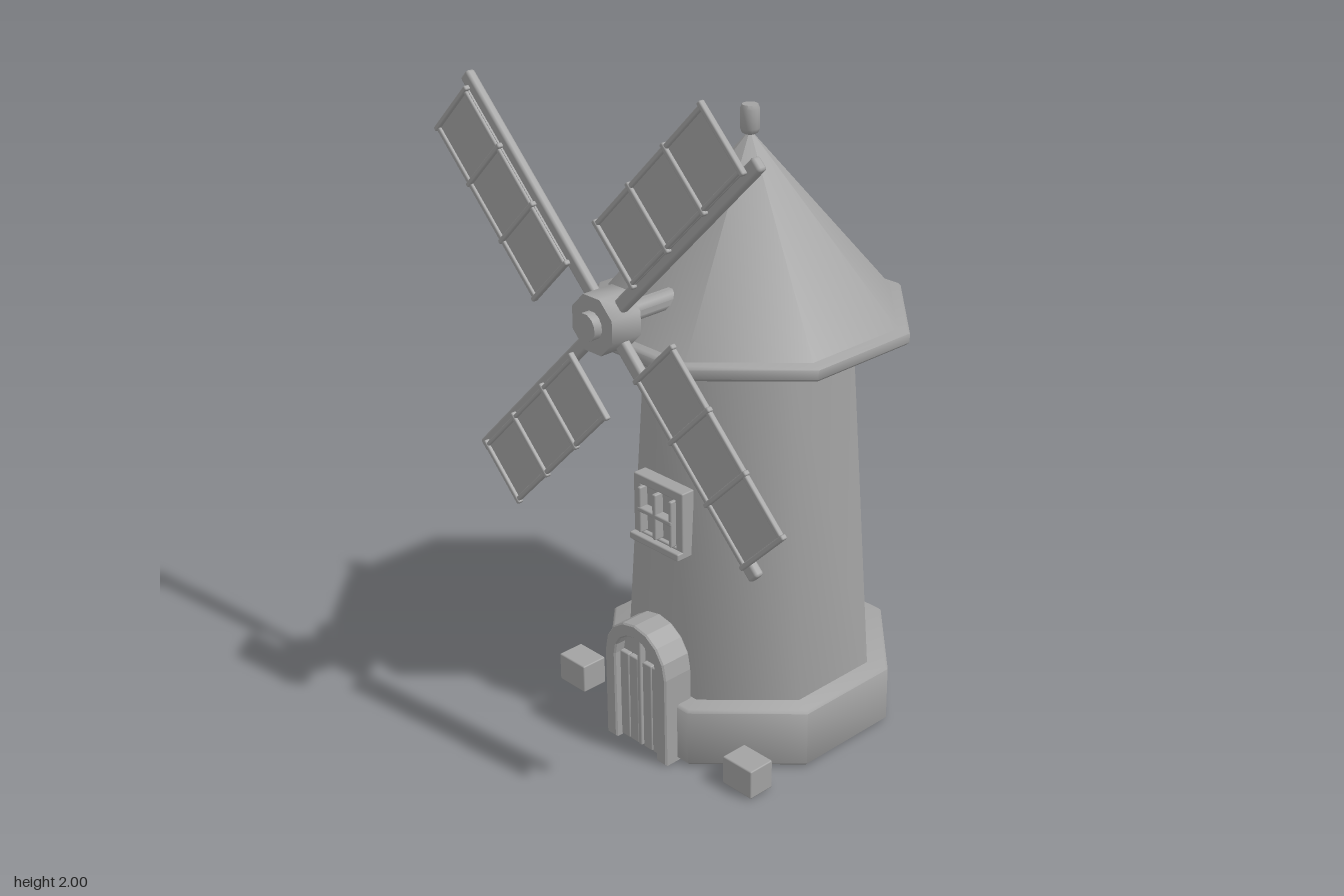
import * as THREE from 'three';
import { toCreasedNormals } from 'three/addons/utils/BufferGeometryUtils.js';
import { RoundedBoxGeometry } from 'three/addons/geometries/RoundedBoxGeometry.js';

const stone = new THREE.MeshStandardMaterial({ color: 0xa2a2a2 });
stone.name = 'plain grey';

function add(parent, name, geometry, x = 0, y = 0, z = 0) {
  const mesh = new THREE.Mesh(geometry, stone);
  mesh.name = name;
  mesh.position.set(x, y, z);
  parent.add(mesh);
  return mesh;
}

const box = (w, h, d, r = 0.004) => new RoundedBoxGeometry(w, h, d, 1, r);

// Eight-sided solid with flats facing the axes; profile is [flat distance, height] going up
function octagon(profile) {
  const points = profile.map(([a, y]) => new THREE.Vector2(a / Math.cos(Math.PI / 8), y));
  return toCreasedNormals(new THREE.LatheGeometry(points, 8, Math.PI / 8), 0.9);
}

// Solid disc with a small bevel on both rims
const slab = (a, y0, y1, b) =>
  octagon([[0, y0], [a - b, y0], [a, y0 + b], [a, y1 - b], [a - b, y1], [0, y1]]);

// Round-topped outline standing on the ground
function archPoints(r, spring) {
  const points = [new THREE.Vector2(-r, 0)];
  for (let i = 0; i <= 8; i++) {
    const t = Math.PI * (1 - i / 8);
    points.push(new THREE.Vector2(r * Math.cos(t), spring + r * Math.sin(t)));
  }
  points.push(new THREE.Vector2(r, 0));
  return points;
}

function makeDoor() {
  const door = new THREE.Group();
  door.name = 'door';
  const outline = new THREE.Shape([...archPoints(0.121, 0.275), ...archPoints(0.088, 0.275).reverse()]);
  add(door, 'doorFrame', new THREE.ExtrudeGeometry(outline, {
    depth: 0.09, bevelThickness: 0.005, bevelSize: 0.004, bevelSegments: 1,
  }), 0, 0, 0.27);
  add(door, 'doorPanel', new THREE.ExtrudeGeometry(new THREE.Shape(archPoints(0.09, 0.275)), {
    depth: 0.06, bevelEnabled: false,
  }), 0, 0, 0.27);
  for (const x of [-0.066, -0.028, 0.028, 0.066]) {
    add(door, 'doorPlank', box(0.036, 0.28, 0.025), x, 0.14, 0.333);
  }
  add(door, 'doorCentreStrip', box(0.014, 0.35, 0.03), 0, 0.177, 0.335);
  return door;
}

function makeWindow() {
  const win = new THREE.Group();
  win.name = 'window';
  for (const s of [-1, 1]) {
    add(win, 'windowFrameSide', box(0.028, 0.2, 0.045), s * 0.084, 0.71, 0.245);
    add(win, 'windowFrameRail', box(0.196, 0.028, 0.045), 0, 0.71 + s * 0.086, 0.245);
    add(win, 'windowSash', box(0.012, 0.14, 0.04), s * 0.062, 0.71, 0.262);
  }
  add(win, 'windowPane', new THREE.BoxGeometry(0.15, 0.16, 0.03), 0, 0.71, 0.24);
  add(win, 'windowMullion', box(0.014, 0.14, 0.04), 0, 0.71, 0.264);
  add(win, 'windowCrossbar', box(0.136, 0.014, 0.04), 0, 0.713, 0.264);
  add(win, 'windowSill', box(0.196, 0.022, 0.045), 0, 0.621, 0.264);
  return win;
}

// One sail: a spar along +x with its lattice on the +y side
function makeSail() {
  const sail = new THREE.Group();
  sail.name = 'sail';
  add(sail, 'spar', box(0.75, 0.04, 0.028, 0.008), 0.39, 0, 0.428);
  add(sail, 'sailCloth', new THREE.BoxGeometry(0.54, 0.185, 0.006), 0.452, 0.097, 0.448);
  add(sail, 'sailRim', box(0.555, 0.014, 0.016), 0.452, 0.19, 0.451);
  add(sail, 'sailInnerRim', box(0.555, 0.012, 0.016), 0.452, 0.012, 0.451);
  for (let i = 0; i < 4; i++) {
    add(sail, 'sailBatten', box(0.014, 0.205, 0.018), 0.181 + i * 0.181, 0.1, 0.452);
  }
  return sail;
}

// Cylinder lying along z between two depths
function axle(parent, name, r, z0, z1, sides) {
  const geometry = new THREE.CylinderGeometry(r, r, z1 - z0, sides);
  geometry.rotateY(Math.PI / sides).rotateX(Math.PI / 2);
  add(parent, name, toCreasedNormals(geometry, 0.9), 0, 0, (z0 + z1) / 2);
}

export function createModel() {
  const model = new THREE.Group();
  model.name = 'windmill';

  // Body and roof share one axis set back from the sails
  const body = new THREE.Group();
  body.name = 'body';
  body.position.z = -0.083;
  model.add(body);
  add(body, 'base', slab(0.404, 0, 0.18, 0.008));
  add(body, 'tower', octagon([[0, 0.17], [0.346, 0.17], [0.284, 1.16], [0, 1.16]]));
  add(body, 'collar', slab(0.302, 1.137, 1.195, 0.008));
  add(body, 'eaves', slab(0.428, 1.19, 1.232, 0.008));
  add(body, 'roof', octagon([[0, 1.225], [0.402, 1.225], [0.002, 1.73]]));
  add(body, 'finial', toCreasedNormals(new THREE.LatheGeometry(
    [[0, 1.715], [0.022, 1.725], [0.027, 1.737], [0.027, 1.79], [0.022, 1.802], [0, 1.802]]
      .map(([r, y]) => new THREE.Vector2(r, y)), 12), 0.9));

  model.add(makeDoor(), makeWindow());

  // Rotor with four sails on the diagonals
  const rotor = new THREE.Group();
  rotor.name = 'rotor';
  rotor.position.y = 1.336;
  model.add(rotor);
  axle(rotor, 'shaft', 0.028, 0, 0.4, 12);
  axle(rotor, 'hub', 0.083, 0.385, 0.483, 8);
  axle(rotor, 'hubCap', 0.039, 0.48, 0.508, 12);
  for (let i = 0; i < 4; i++) {
    const sail = makeSail();
    sail.rotation.z = Math.PI / 4 + i * Math.PI / 2;
    rotor.add(sail);
  }

  // Loose stones beside the door
  add(model, 'rightStone', box(0.11, 0.088, 0.084), -0.375, 0.044, 0.242);
  add(model, 'leftStone', box(0.11, 0.088, 0.084), 0.35, 0.044, 0.267);
  return model;
}
